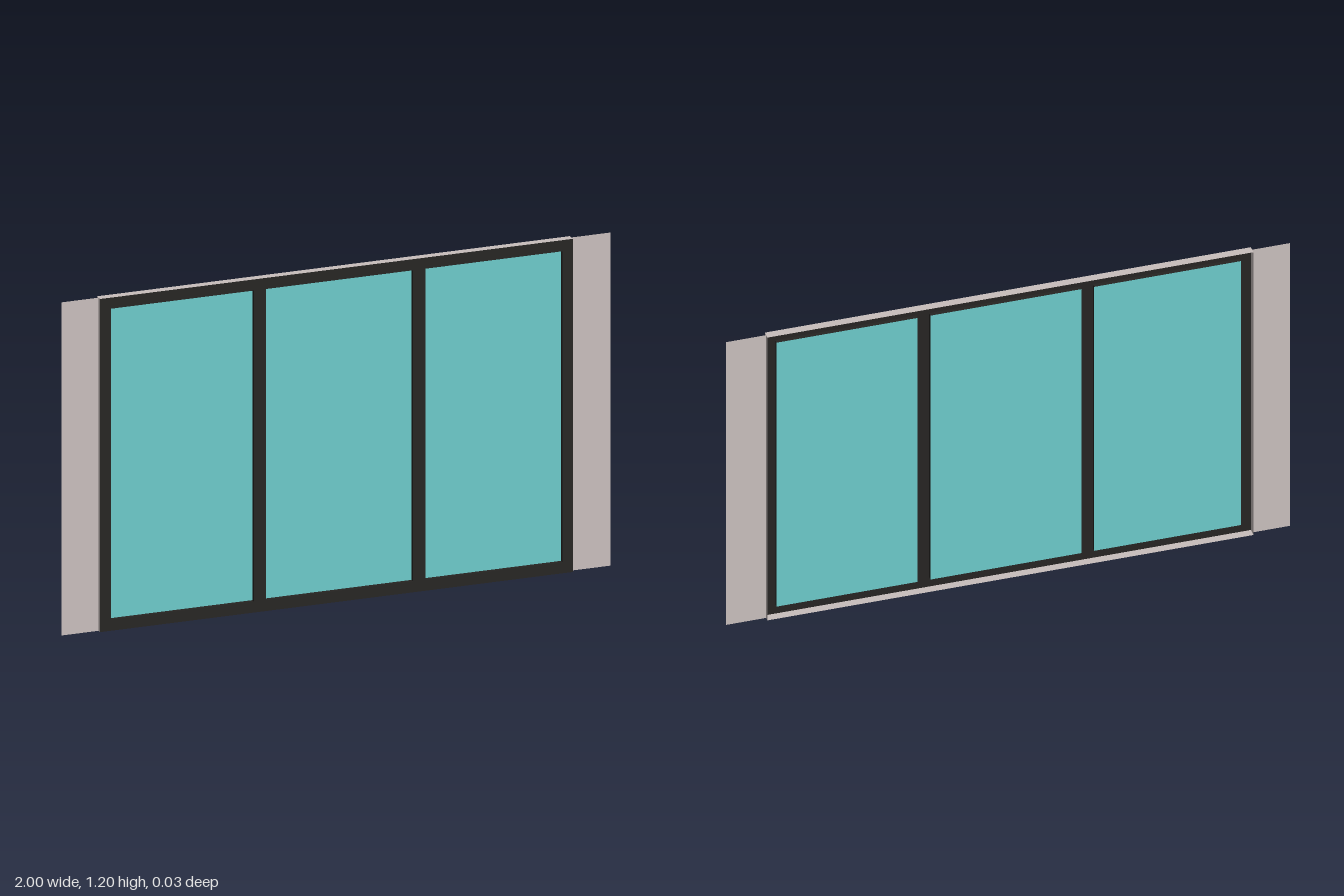
import * as THREE from 'three';

const HALF = 0.015; // half depth of the window box
const H = 1.2;
const LEFT = -0.865, RIGHT = 0.857;
const OPENINGS = [[-0.825, -0.305], [-0.26, 0.275], [0.32, 0.82]];
const SILL = 0.04, HEAD = 1.16;

const material = (color) => new THREE.MeshStandardMaterial({ color, side: THREE.DoubleSide });

// Upright flat rectangle facing +z
function panel(name, x0, x1, y0, y1, z, mat) {
  const mesh = new THREE.Mesh(new THREE.PlaneGeometry(x1 - x0, y1 - y0), mat);
  mesh.position.set((x0 + x1) / 2, (y0 + y1) / 2, z);
  mesh.name = name;
  return mesh;
}

// Four thin walls around a rectangle, from z0 to z1
function walls(name, x0, x1, y0, y1, z0, z1, mat) {
  const group = new THREE.Group();
  group.name = name;
  const w = x1 - x0, h = y1 - y0, d = z1 - z0;
  const cx = (x0 + x1) / 2, cy = (y0 + y1) / 2, cz = (z0 + z1) / 2;
  for (const s of [-1, 1]) {
    const side = new THREE.Mesh(new THREE.PlaneGeometry(d, h), mat);
    side.rotation.y = s * Math.PI / 2;
    side.position.set(cx + s * w / 2, cy, cz);
    side.name = name + 'Side';
    const level = new THREE.Mesh(new THREE.PlaneGeometry(w, d), mat);
    level.rotation.x = -s * Math.PI / 2;
    level.position.set(cx, cy + s * h / 2, cz);
    level.name = name + (s > 0 ? 'Top' : 'Bottom');
    group.add(side, level);
  }
  return group;
}

function rectangle(PathType, x0, x1, y0, y1) {
  const path = new PathType();
  path.moveTo(x0, y0);
  path.lineTo(x1, y0);
  path.lineTo(x1, y1);
  path.lineTo(x0, y1);
  path.closePath();
  return path;
}

export function createModel() {
  const model = new THREE.Group();
  model.name = 'window';
  const wall = material(0xc9bfbd);
  const black = material(0x262422);
  const glass = material(0x6ccaca);

  // Wall strips on both sides
  model.add(panel('rightWallStrip', -1, LEFT, 0, H, 0, wall));
  model.add(panel('leftWallStrip', RIGHT, 1, 0, H, 0, wall));

  // Outer casing, open at front and back
  model.add(walls('casing', LEFT, RIGHT, 0, H, -HALF, HALF, wall));

  // Front face of the frame with three openings
  const face = rectangle(THREE.Shape, LEFT, RIGHT, 0, H);
  for (const [a, b] of OPENINGS) face.holes.push(rectangle(THREE.Path, a, b, SILL, HEAD));
  const frame = new THREE.Mesh(new THREE.ShapeGeometry(face), black);
  frame.position.z = HALF;
  frame.name = 'frame';
  model.add(frame);

  // Recessed panes and their reveals
  for (const [a, b] of OPENINGS) {
    model.add(walls('reveal', a, b, SILL, HEAD, 0, HALF, black));
    model.add(panel('pane', a, b, SILL, HEAD, 0, glass));
  }
  return model;
}
